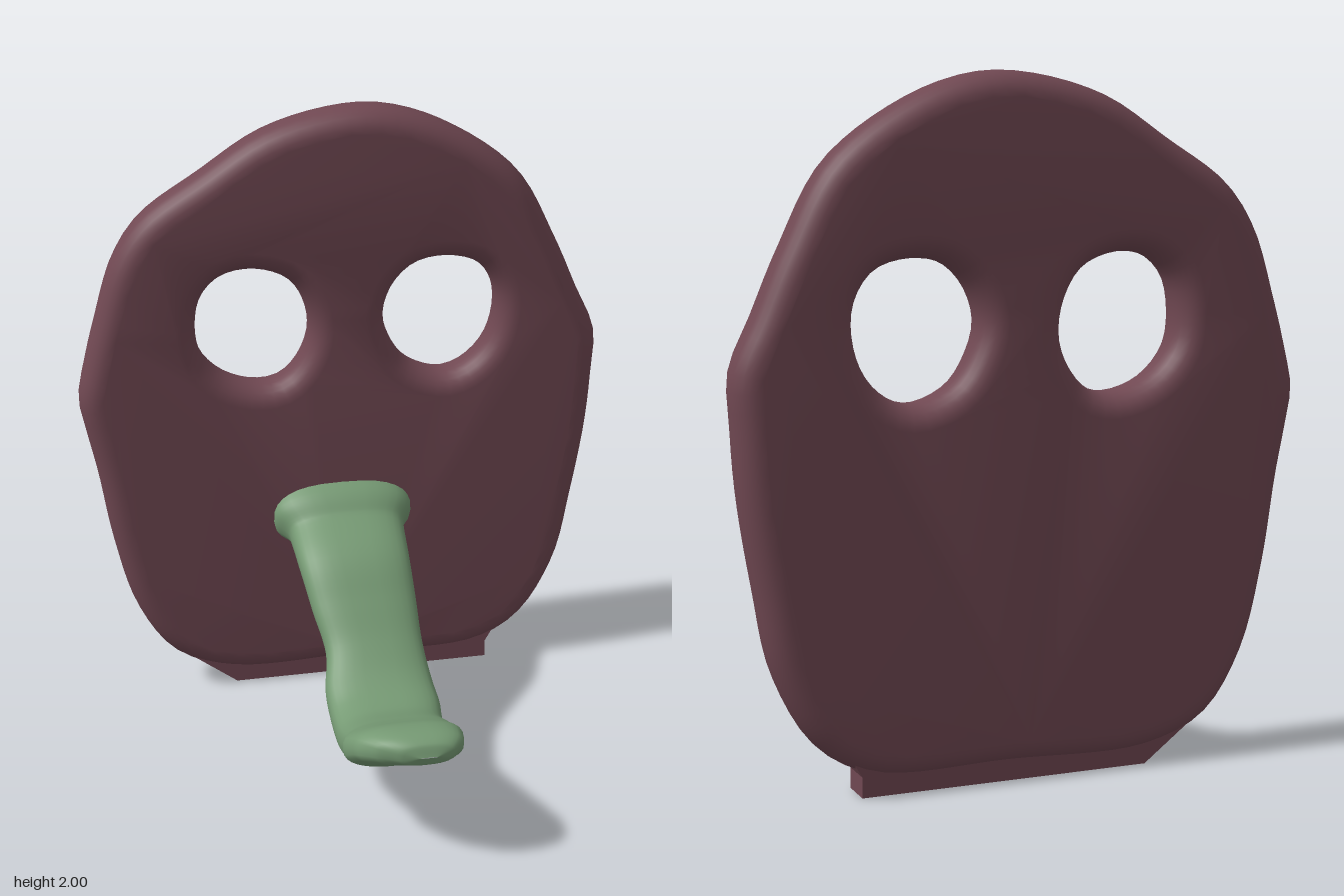
import * as THREE from 'three';
import { mergeVertices, toCreasedNormals } from 'three/addons/utils/BufferGeometryUtils.js';

const mauve = new THREE.MeshStandardMaterial({ color: 0x704852 });
mauve.name = 'mauve';
const green = new THREE.MeshStandardMaterial({ color: 0x769a74 });
green.name = 'green';

// Smooth closed loop through a few [x, y] points
function loop(points, count) {
  const curve = new THREE.CatmullRomCurve3(points.map(([x, y]) => new THREE.Vector3(x, y, 0)), true);
  return curve.getSpacedPoints(count).slice(0, -1).map(p => new THREE.Vector2(p.x, p.y));
}

// Upright slab with rounded rim and two eye holes
function plateGeometry() {
  // Counter-clockwise from the foot
  const outline = [
    [0.06, 0.05], [0.46, 0.06], [0.62, 0.15], [0.74, 0.36], [0.79, 0.6], [0.83, 0.86], [0.843, 1.05],
    [0.845, 1.2], [0.78, 1.35], [0.7, 1.53], [0.57, 1.76], [0.33, 1.93], [0.13, 1.995],
    [-0.04, 1.99], [-0.25, 1.93], [-0.44, 1.81], [-0.63, 1.68], [-0.72, 1.55], [-0.785, 1.35],
    [-0.825, 1.2], [-0.848, 1.08], [-0.83, 0.97], [-0.8, 0.82], [-0.76, 0.57], [-0.69, 0.31],
    [-0.57, 0.13], [-0.38, 0.05],
  ];
  // Clockwise
  const rightEye = [
    [-0.47, 1.31], [-0.45, 1.41], [-0.385, 1.475], [-0.28, 1.49], [-0.175, 1.45], [-0.12, 1.365],
    [-0.105, 1.26], [-0.14, 1.165], [-0.2, 1.105], [-0.28, 1.095], [-0.385, 1.135], [-0.455, 1.215],
  ];
  const leftEye = [
    [0.137, 1.31], [0.17, 1.41], [0.24, 1.475], [0.345, 1.49], [0.445, 1.46], [0.5, 1.38],
    [0.508, 1.285], [0.475, 1.18], [0.405, 1.11], [0.33, 1.09], [0.22, 1.135], [0.16, 1.22],
  ];
  const shape = new THREE.Shape(loop(outline, 110));
  shape.holes.push(new THREE.Path(loop(rightEye, 40)), new THREE.Path(loop(leftEye, 40)));
  let geo = new THREE.ExtrudeGeometry(shape, {
    depth: 0.02, steps: 1, bevelEnabled: true, bevelThickness: 0.075,
    bevelSize: 0.07, bevelOffset: -0.07, bevelSegments: 6,
  });
  // Slight backward lean at the foot, a little thicker towards the top
  const pos = geo.attributes.position;
  for (let i = 0; i < pos.count; i++) {
    const y = pos.getY(i);
    const thick = (0.155 + 0.014 * y) / 0.17;
    pos.setZ(i, (pos.getZ(i) - 0.01) * thick - 0.577 + 0.018 * (y - 1));
  }
  geo.deleteAttribute('normal');
  geo.deleteAttribute('uv');
  geo = mergeVertices(geo, 1e-4);
  return toCreasedNormals(geo, 0.8);
}

// Thin flat foot under the plate, flaring into its lower edge
function footGeometry() {
  const shape = new THREE.Shape([[-0.37, 0], [0.5, 0], [0.5, 0.06], [0.54, 0.13], [-0.54, 0.13]]
    .map(([x, y]) => new THREE.Vector2(x, y)));
  return new THREE.ExtrudeGeometry(shape, { depth: 0.1, bevelEnabled: false }).translate(0, 0, -0.642);
}

// Flattened tube swept along a wavy path
function tongueGeometry() {
  // z, y, thickness, right x, left x
  const rows = [
    [-0.56, 0.63, 0.26, -0.24, 0.225], [-0.5, 0.615, 0.23, -0.237, 0.222],
    [-0.44, 0.59, 0.175, -0.195, 0.185], [-0.3, 0.535, 0.148, -0.185, 0.175],
    [-0.2, 0.44, 0.135, -0.165, 0.175], [-0.1, 0.335, 0.13, -0.14, 0.175],
    [0, 0.25, 0.135, -0.16, 0.185], [0.09, 0.207, 0.148, -0.16, 0.192],
    [0.2, 0.2, 0.155, -0.16, 0.18], [0.35, 0.262, 0.145, -0.165, 0.18],
    [0.46, 0.325, 0.13, -0.19, 0.172], [0.56, 0.385, 0.118, -0.175, 0.155],
    [0.62, 0.402, 0.1, -0.125, 0.14], [0.66, 0.402, 0.065, -0.06, 0.105],
    [0.675, 0.402, 0.002, 0.0, 0.05],
  ];
  const path = new THREE.CatmullRomCurve3(rows.map(r => new THREE.Vector3(0, r[1], r[0])));
  const size = new THREE.CatmullRomCurve3(rows.map(r => new THREE.Vector3(r[2], r[3], r[4])));
  const rings = 84, sides = 32, verts = [], index = [];
  const round = v => Math.sign(v) * Math.pow(Math.abs(v), 0.75);
  for (let i = 0; i <= rings; i++) {
    const c = path.getPoint(i / rings), t = path.getTangent(i / rings), s = size.getPoint(i / rings);
    for (let j = 0; j < sides; j++) {
      const a = (j / sides) * Math.PI * 2;
      const x = (s.y + s.z) / 2 + round(Math.cos(a)) * (s.z - s.y) / 2;
      const n = round(Math.sin(a)) * s.x / 2;
      verts.push(x, c.y + t.z * n, c.z - t.y * n);
      if (i < rings) {
        const k = (j + 1) % sides, p = i * sides, q = p + sides;
        index.push(p + j, p + k, q + j, p + k, q + k, q + j);
      }
    }
  }
  const geo = new THREE.BufferGeometry();
  geo.setAttribute('position', new THREE.Float32BufferAttribute(verts, 3));
  geo.setIndex(index);
  geo.computeVertexNormals();
  return geo;
}

export function createModel() {
  const group = new THREE.Group();
  group.name = 'mask';
  const add = (name, geo, material) => {
    const mesh = new THREE.Mesh(geo, material);
    mesh.name = name;
    group.add(mesh);
  };
  add('facePlate', plateGeometry(), mauve);
  add('footLip', footGeometry(), mauve);
  add('tongue', tongueGeometry(), green);
  return group;
}
